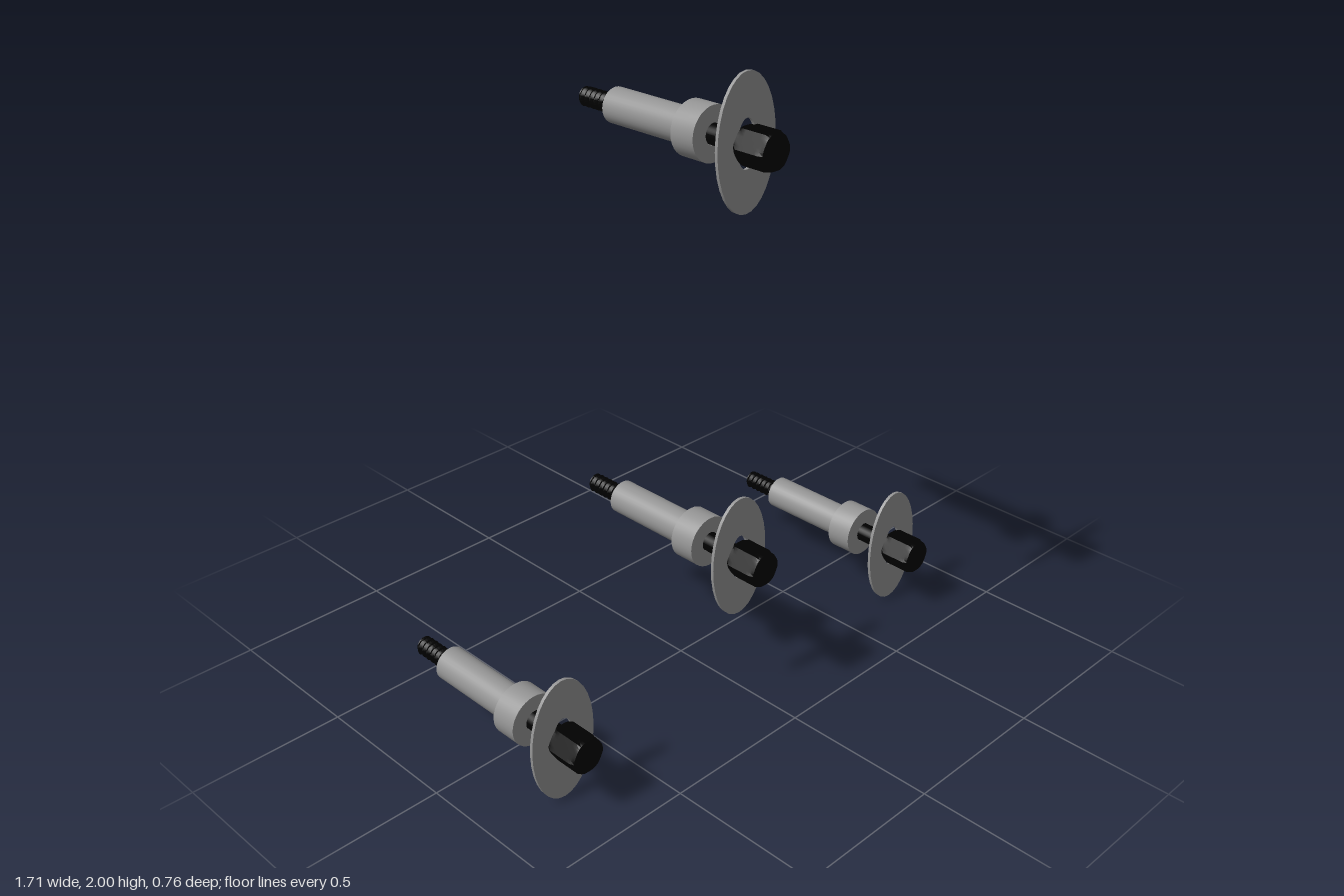
import * as THREE from 'three';
import { toCreasedNormals } from 'three/addons/utils/BufferGeometryUtils.js';

const grey = new THREE.MeshStandardMaterial({ color: 0x949494 });
const black = new THREE.MeshStandardMaterial({ color: 0x000000 });

// Cylinder along z between two depths, with vertices reshaped by radius(angle, z)
function shapedRod(zBack, zFront, segments, rows, radius) {
  const g = new THREE.CylinderGeometry(1, 1, zFront - zBack, segments, rows);
  g.rotateX(Math.PI / 2).translate(0, 0, (zBack + zFront) / 2);
  const p = g.attributes.position;
  for (let i = 0; i < p.count; i++) {
    const x = p.getX(i), y = p.getY(i), z = p.getZ(i);
    if (Math.hypot(x, y) < 0.5) continue; // cap centres
    const a = Math.atan2(y, x), r = radius(a, z);
    p.setXY(i, r * Math.cos(a), r * Math.sin(a));
  }
  return toCreasedNormals(g, 0.45);
}

// Hollow ring along z
function ring(zBack, zFront, inner, outer) {
  const profile = [[inner, zBack], [outer, zBack], [outer, zFront], [inner, zFront], [inner, zBack]]
    .map(([r, z]) => new THREE.Vector2(r, z));
  const g = new THREE.LatheGeometry(profile, 32).rotateX(Math.PI / 2);
  return toCreasedNormals(g, 0.6);
}

// Thin oval plate with an oval hole
function ovalWasher() {
  const shape = new THREE.Shape().absellipse(0, 0, 0.115, 0.202, 0, Math.PI * 2);
  shape.holes.push(new THREE.Path().absellipse(0, 0, 0.038, 0.073, 0, Math.PI * 2, true));
  const g = new THREE.ExtrudeGeometry(shape, { depth: 0.01, bevelEnabled: false, curveSegments: 16 });
  return toCreasedNormals(g.translate(0, 0, 0.263), 0.6);
}

// Hexagonal head: corners are cut back at both ends
function hexHead() {
  const apothem = 0.052, z0 = 0.27, z1 = 0.38, bevel = 0.0135;
  return shapedRod(z0, z1, 36, 8, (a, z) => {
    const sector = Math.PI / 3;
    const local = ((a % sector) + sector) % sector - sector / 2;
    const hex = apothem / Math.cos(local);
    const edge = Math.min(z - z0, z1 - z);
    return Math.min(hex, 0.054 + 0.0065 * Math.min(1, edge / bevel));
  });
}

// Helical thread on the tail
function thread() {
  const pitch = 0.02;
  return shapedRod(-0.38, -0.24, 24, 56, (a, z) => {
    const t = z / pitch + a / (Math.PI * 2);
    return 0.025 + 0.006 * Math.abs(2 * (t - Math.floor(t)) - 1);
  });
}

export function createModel() {
  const model = new THREE.Group();
  model.name = 'anchorBolts';

  const parts = [
    ['boltHead', hexHead(), black],
    ['boltShank', shapedRod(-0.245, 0.272, 24, 1, () => 0.031), black],
    ['boltThread', thread(), black],
    ['washer', ovalWasher(), grey],
    ['collar', ring(0.062, 0.148, 0.032, 0.083), grey],
    ['sleeve', ring(-0.247, 0.056, 0.032, 0.054), grey],
  ];

  const places = {
    topBolt: [-0.02, 1.798],
    middleBolt: [-0.02, 0.493],
    rightBolt: [-0.742, 0.203],
    leftBolt: [0.742, 0.203],
  };

  for (const [name, [x, y]] of Object.entries(places)) {
    const bolt = new THREE.Group();
    bolt.name = name;
    bolt.position.set(x, y, 0);
    for (const [partName, geometry, material] of parts) {
      const mesh = new THREE.Mesh(geometry, material);
      mesh.name = partName;
      bolt.add(mesh);
    }
    model.add(bolt);
  }
  return model;
}
